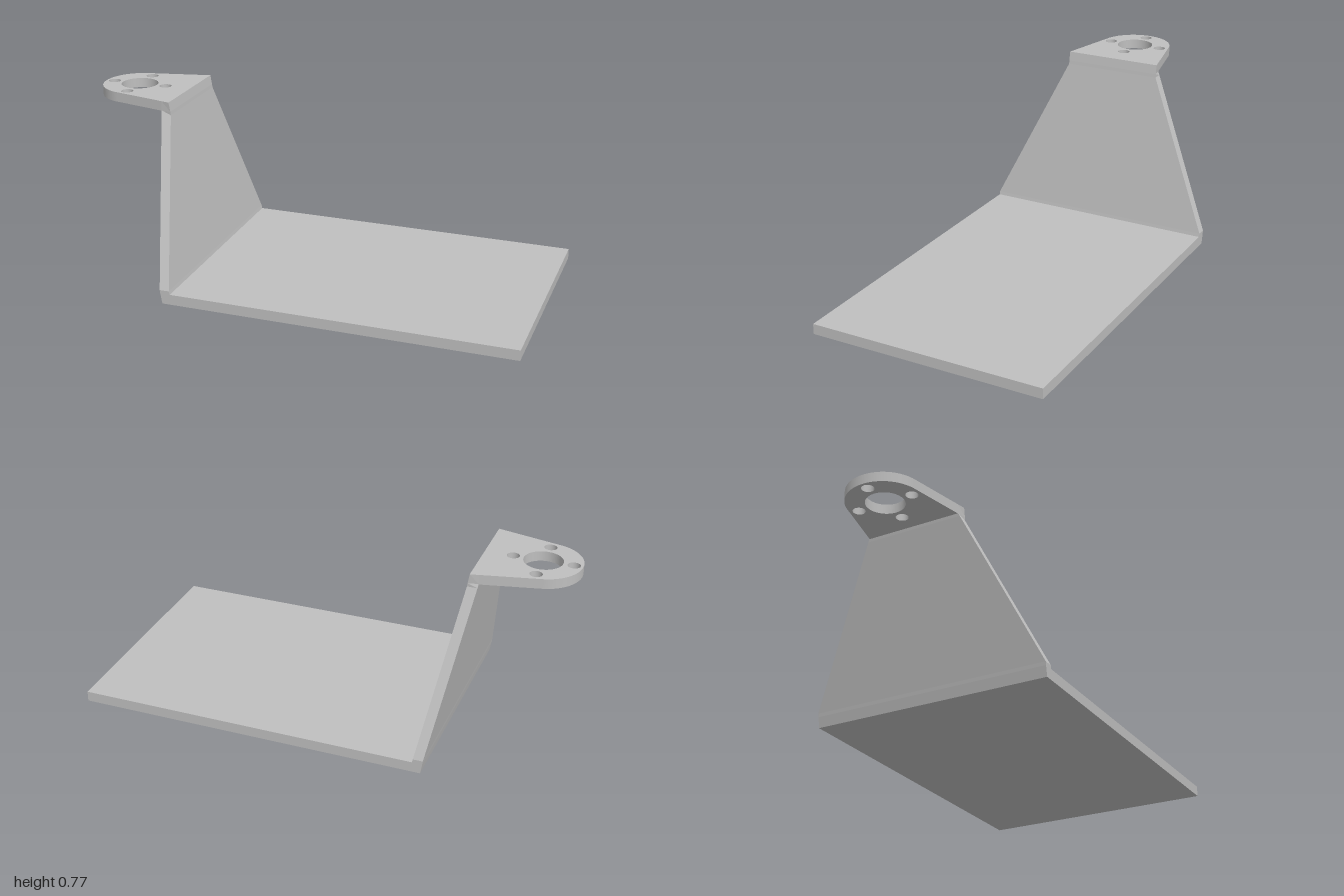
import * as THREE from 'three';

const steel = new THREE.MeshStandardMaterial({ color: 0xbfbfbf });
steel.name = 'grey metal';

const CZ = -0.013; // centre line of the upper flange in z

// Base: flat rectangular plate
function makeBase() {
  const mesh = new THREE.Mesh(new THREE.BoxGeometry(1.477, 0.045, 1.034), steel);
  mesh.name = 'basePlate';
  mesh.position.set(0.2615, 0.0225, 0);
  return mesh;
}

// Upright: slanted tapering wall lofted through horizontal sections
function makeWall() {
  // y, outer x, inner x, z centre, outer half width, inner half width
  const sections = [
    [0, -0.512, -0.477, 0, 0.517, 0.517],
    [0.045, -0.52, -0.477, 0, 0.517, 0.517],
    [0.06, -0.522, -0.48, 0, 0.517, 0.517],
    [0.72, -0.634, -0.591, CZ, 0.217, 0.217],
    [0.735, -0.636, -0.593, CZ, 0.21, 0.217],
    [0.775, -0.636, -0.6, CZ, 0.209, 0.217],
  ].map(([y, xo, xi, c, wo, wi]) => [
    [xo, y, c - wo], [xi, y, c - wi], [xi, y, c + wi], [xo, y, c + wo],
  ]);
  const pos = [];
  const quad = (a, b, c, d) => pos.push(...a, ...b, ...c, ...a, ...c, ...d);
  for (let s = 0; s < sections.length - 1; s++) {
    const lo = sections[s], up = sections[s + 1];
    for (let i = 0; i < 4; i++) {
      const j = (i + 1) % 4;
      quad(lo[i], up[i], up[j], lo[j]);
    }
  }
  quad(...sections[0]);
  quad(...[...sections[sections.length - 1]].reverse());
  const geo = new THREE.BufferGeometry();
  geo.setAttribute('position', new THREE.Float32BufferAttribute(pos, 3));
  geo.computeVertexNormals();
  const mesh = new THREE.Mesh(geo, steel);
  mesh.name = 'slantedWall';
  return mesh;
}

// Flange: rounded tab with a central bore and four bolt holes
function makeFlange() {
  const cx = -0.84, a = 1.79;
  const shape = new THREE.Shape();
  shape.moveTo(-0.636, CZ - 0.209);
  shape.lineTo(-0.636, CZ + 0.209);
  shape.absarc(cx, CZ, 0.16, a, Math.PI * 2 - a, false);
  shape.closePath();
  const hole = (x, z, r) => {
    const path = new THREE.Path();
    path.absarc(x, z, r, 0, Math.PI * 2, true);
    shape.holes.push(path);
  };
  hole(cx, CZ, 0.08);
  for (let i = 0; i < 4; i++) {
    const t = (i * Math.PI) / 2;
    hole(cx + 0.123 * Math.cos(t), CZ + 0.123 * Math.sin(t), 0.026);
  }
  const geo = new THREE.ExtrudeGeometry(shape, { depth: 0.042, bevelEnabled: false, curveSegments: 40 });
  geo.rotateX(Math.PI / 2);
  const mesh = new THREE.Mesh(geo, steel);
  mesh.name = 'mountingFlange';
  mesh.position.y = 0.775;
  return mesh;
}

export function createModel() {
  const group = new THREE.Group();
  group.name = 'mountingBracket';
  group.add(makeBase(), makeWall(), makeFlange());
  return group;
}
